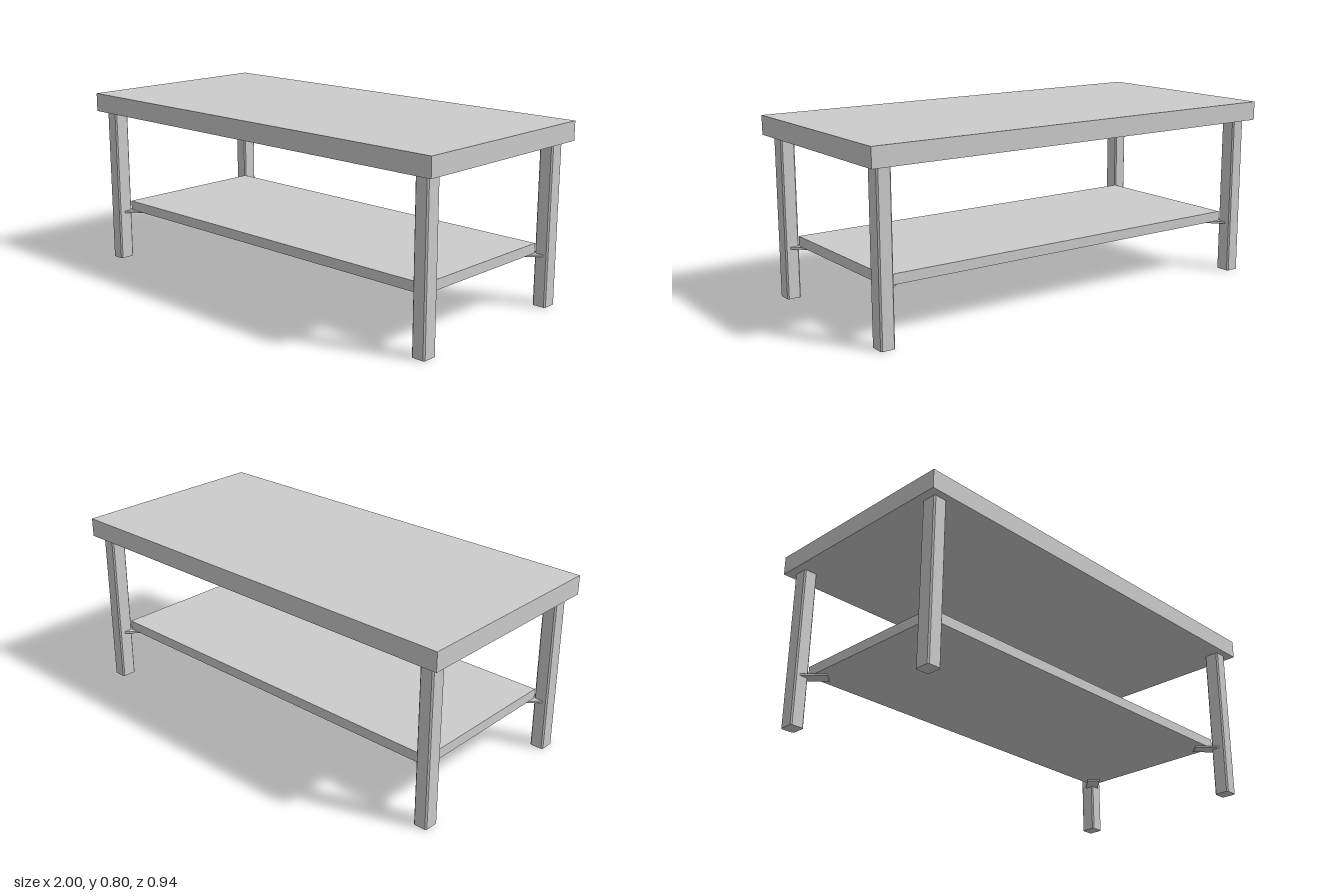
import * as THREE from 'three';

const material = new THREE.MeshStandardMaterial({ color: 0xcccccc, flatShading: true });

function addBox(group, name, w, d, y0, y1) {
  const mesh = new THREE.Mesh(new THREE.BoxGeometry(w, y1 - y0, d), material);
  mesh.name = name;
  mesh.position.y = (y0 + y1) / 2;
  group.add(mesh);
}

// Upright prism from an outline of [x, z] points, between two heights
function prism(points, y0, y1) {
  const shape = new THREE.Shape(points.map(([x, z]) => new THREE.Vector2(x, -z)));
  return new THREE.ExtrudeGeometry(shape, { depth: y1 - y0, bevelEnabled: false })
    .rotateX(-Math.PI / 2)
    .translate(0, y0, 0);
}

export function createModel() {
  const table = new THREE.Group();
  table.name = 'coffeeTable';

  addBox(table, 'tableTop', 2, 0.945, 0.713, 0.797);
  addBox(table, 'lowerShelf', 1.8, 0.742, 0.23, 0.274);

  const x0 = 0.9, x1 = 0.963, z0 = 0.371, z1 = 0.441, c = 0.006;
  // Square leg with chamfered edges
  const legOutline = [
    [x0 + c, z0], [x1 - c, z0], [x1, z0 + c], [x1, z1 - c],
    [x1 - c, z1], [x0 + c, z1], [x0, z1 - c], [x0, z0 + c],
  ];
  // Diagonal corner plate, notched around the inner edge of the leg
  const bracketOutline = [
    [0.82, 0.333], [0.862, 0.291], [0.942, z0], [x0 + c, z0], [x0, z0 + c], [x0, 0.413],
  ];

  for (const sx of [1, -1]) {
    for (const sz of [1, -1]) {
      const mirror = (pts) => pts.map(([x, z]) => [x * sx, z * sz]);
      const side = (sz > 0 ? 'front' : 'back') + (sx > 0 ? 'Left' : 'Right');
      const leg = new THREE.Mesh(prism(mirror(legOutline), 0, 0.713), material);
      leg.name = side + 'Leg';
      const bracket = new THREE.Mesh(prism(mirror(bracketOutline), 0.222, 0.231), material);
      bracket.name = side + 'ShelfBracket';
      table.add(leg, bracket);
    }
  }
  return table;
}
